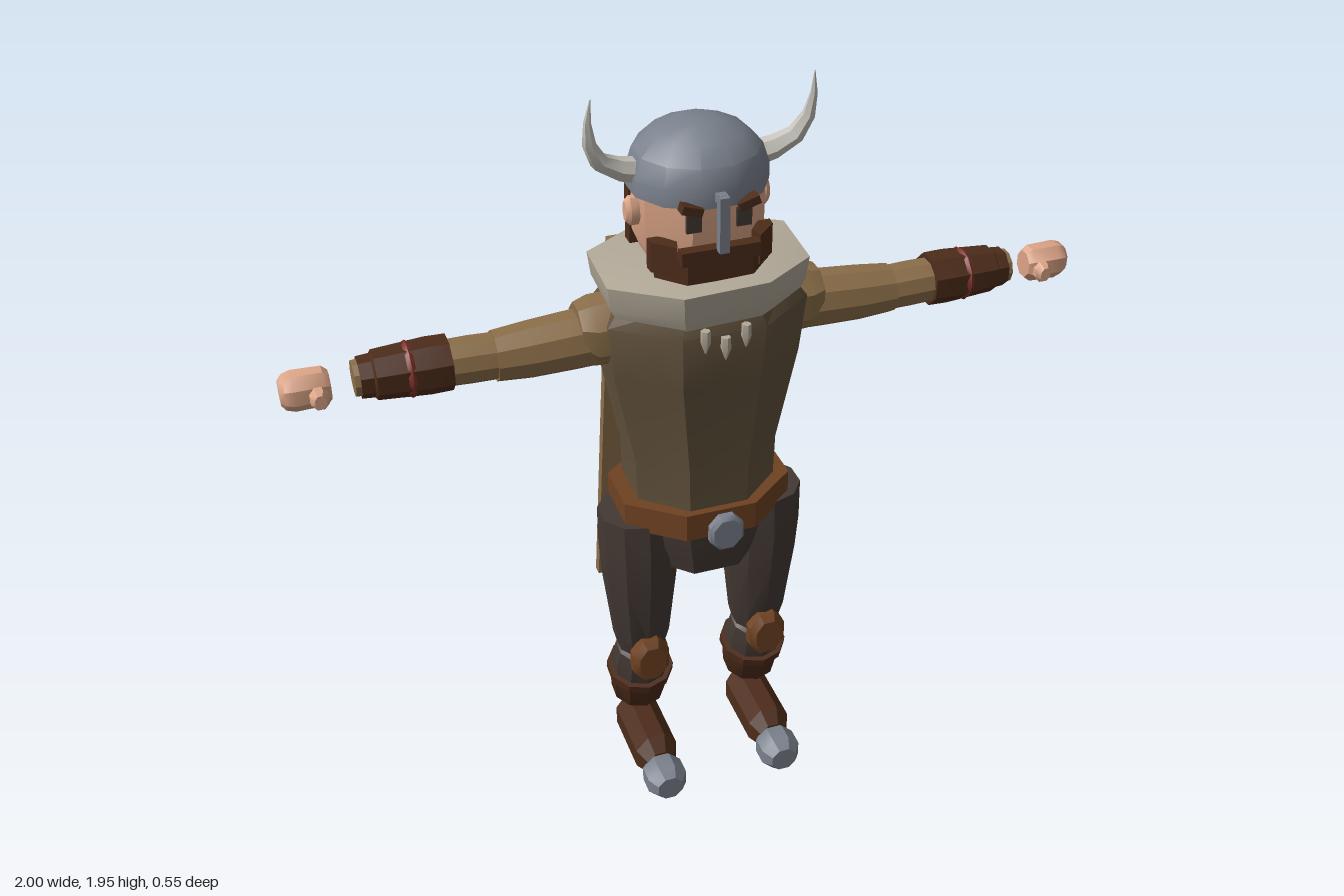
import * as THREE from 'three';
import { toCreasedNormals } from 'three/addons/utils/BufferGeometryUtils.js';

const COLORS = {
  skin: 0xdca587, steel: 0x7a818c, leather: 0x6f4222, darkLeather: 0x4d2c1a, tunic: 0x61513c,
  tan: 0x8b6e49, trousers: 0x44393400 >>> 8, horn: 0xc6c4bb, fur: 0xb2a998, red: 0x7c3028,
};

// Closed solid from elliptical cross-sections along one axis.
// Ring: y axis [y, x, z, rx, rz], x axis [x, y, z, ry, rz], z axis [z, x, y, rx, ry]
function loft(axis, rings, n = 8, wobble = () => 0) {
  const pos = [], idx = [], k = 1 / Math.cos(Math.PI / n), dir = axis === 'y' ? -1 : 1;
  const push = (t, a, b) => pos.push(...(axis === 'y' ? [a, t, b] : axis === 'x' ? [t, a, b] : [a, b, t]));
  rings.forEach(([t, a, b, ra, rb = ra], i) => {
    for (let j = 0; j < n; j++) {
      const th = dir * (j + 0.5) / n * Math.PI * 2;
      push(t + wobble(i, j), a + ra * k * Math.cos(th), b + rb * k * Math.sin(th));
    }
  });
  const last = rings.length - 1, c0 = pos.length / 3;
  push(...rings[0].slice(0, 3));
  push(...rings[last].slice(0, 3));
  for (let j = 0; j < n; j++) {
    const m = (j + 1) % n;
    for (let i = 0; i < last; i++) {
      const p = i * n + j, q = i * n + m;
      idx.push(p, q, q + n, p, q + n, p + n);
    }
    idx.push(c0, m, j, c0 + 1, last * n + j, last * n + m);
  }
  const g = new THREE.BufferGeometry();
  g.setAttribute('position', new THREE.Float32BufferAttribute(pos, 3));
  g.setIndex(idx);
  return g;
}

// Horizontal outline [x, z] raised from y0 to y1
function slab(points, y0, y1) {
  const shape = new THREE.Shape(points.map(([x, z]) => new THREE.Vector2(x, -z)));
  return new THREE.ExtrudeGeometry(shape, { depth: y1 - y0, bevelEnabled: false })
    .rotateX(-Math.PI / 2).translate(0, y0, 0);
}

const box = (x, y, z, w, h, d) => new THREE.BoxGeometry(w, h, d).translate(x, y, z);

// Mirror across x = 0, keeping faces outward
function mirror(geo) {
  const g = geo.clone().scale(-1, 1, 1), p = g.attributes.position;
  for (let i = 0; i < p.count; i += 3) {
    const a = new THREE.Vector3().fromBufferAttribute(p, i + 1);
    const b = new THREE.Vector3().fromBufferAttribute(p, i + 2);
    p.setXYZ(i + 1, b.x, b.y, b.z);
    p.setXYZ(i + 2, a.x, a.y, a.z);
  }
  return g;
}

// Curved horn tapering to a point
function hornGeometry() {
  const curve = new THREE.CatmullRomCurve3([[0.13, 1.745, 0.02], [0.225, 1.775, 0.03],
    [0.265, 1.85, 0.05], [0.262, 1.95, 0.07]].map(p => new THREE.Vector3(...p)));
  const segs = 5, sides = 6, g = new THREE.TubeGeometry(curve, segs, 0.032, sides);
  const p = g.attributes.position, v = new THREE.Vector3();
  for (let i = 0; i < p.count; i++) {
    const t = Math.floor(i / (sides + 1)) / segs, c = curve.getPointAt(t);
    v.fromBufferAttribute(p, i).sub(c).multiplyScalar(1 - 0.97 * t ** 1.3).add(c);
    p.setXYZ(i, v.x, v.y, v.z);
  }
  return g;
}

export function createModel() {
  const model = new THREE.Group();
  model.name = 'hornedWarrior';
  const mats = {};
  for (const [name, color] of Object.entries(COLORS)) {
    mats[name] = new THREE.MeshStandardMaterial({ color });
    mats[name].name = name;
  }
  const finish = (geo) => {
    const g = geo.index ? geo.toNonIndexed() : geo;
    for (const a of ['uv', 'normal']) g.deleteAttribute(a);
    return g;
  };
  const mesh = (name, mat, g) => {
    g.computeVertexNormals();
    const m = new THREE.Mesh(toCreasedNormals(g, 0.6), mats[mat]);
    m.name = name;
    model.add(m);
  };
  const add = (name, mat, geo) => mesh(name, mat, finish(geo));
  const pair = (name, mat, geo) => {
    const g = finish(geo);
    mesh(name + 'Right', mat, mirror(g));
    mesh(name + 'Left', mat, g);
  };

  // Torso, belt and hips
  add('tunic', 'tunic', loft('y', [[0.84, 0, 0.025, 0.18, 0.16], [1.0, 0, 0.025, 0.185, 0.162],
    [1.25, 0, 0.03, 0.235, 0.172], [1.4, 0, 0.03, 0.25, 0.187], [1.47, 0, 0.03, 0.2, 0.16]]));
  add('belt', 'leather', loft('y', [[0.815, 0, 0.03, 0.22, 0.175], [0.89, 0, 0.03, 0.22, 0.175]]));
  add('buckle', 'steel', loft('z', [[0.222, 0, 0.848, 0.036, 0.04], [0.23, 0, 0.848, 0.044, 0.05],
    [0.245, 0, 0.848, 0.044, 0.05], [0.254, 0, 0.848, 0.036, 0.04]]));
  add('hips', 'trousers', loft('y', [[0.68, 0, 0.025, 0.145, 0.148], [0.75, 0, 0.025, 0.17, 0.16],
    [0.82, 0, 0.025, 0.185, 0.162]]));

  // Fur collar with an uneven rim, and hanging fangs
  add('collar', 'fur', loft('y', [[1.42, 0, 0.03, 0.225, 0.18], [1.455, 0, 0.03, 0.242, 0.193],
    [1.515, 0, 0.03, 0.25, 0.2], [1.53, 0, 0.03, 0.14, 0.12]], 8,
    (i, j) => i === 3 ? 0 : 0.009 * Math.sin(j * 2.3 + 1)));
  for (const x of [-0.05, 0, 0.05]) {
    const y = x ? 1.36 : 1.335;
    add('fang', 'fur', loft('y', [[y, x, 0.222, 0.002], [y + 0.03, x, 0.222, 0.011],
      [y + 0.06, x, 0.222, 0.01]], 6));
  }

  // Head, hair and beard
  add('head', 'skin', loft('y', [[1.45, 0, 0.02, 0.1], [1.53, 0, 0.02, 0.125, 0.13],
    [1.58, 0, 0.02, 0.145, 0.14], [1.73, 0, 0.02, 0.145, 0.145]]));
  pair('ear', 'skin', loft('x', [[0.14, 1.65, 0.02, 0.034, 0.022], [0.165, 1.65, 0.02, 0.034, 0.022],
    [0.176, 1.65, 0.02, 0.024, 0.014]]));
  add('hair', 'darkLeather', slab([[-0.15, -0.03], [-0.15, -0.065], [-0.085, -0.13], [0.085, -0.13],
    [0.15, -0.065], [0.15, -0.03]], 1.54, 1.705));
  add('beard', 'darkLeather', slab([[-0.13, 0.09], [-0.14, 0.12], [-0.08, 0.185], [0.08, 0.185],
    [0.14, 0.12], [0.13, 0.09]], 1.52, 1.585));
  pair('sideburn', 'darkLeather', slab([[0.12, 0.1], [0.15, 0.1], [0.148, 0.125], [0.1, 0.172],
    [0.09, 0.14]], 1.54, 1.615));
  add('moustache', 'darkLeather', box(0, 1.59, 0.175, 0.19, 0.035, 0.03));
  pair('eye', 'trousers', box(0.06, 1.668, 0.168, 0.036, 0.044, 0.009));
  pair('brow', 'darkLeather', new THREE.BoxGeometry(0.05, 0.02, 0.03)
    .rotateZ(0.3).translate(0.068, 1.705, 0.172));

  // Helmet
  add('helmet', 'steel', loft('y', [[1.7, 0, 0.02, 0.162, 0.154], [1.74, 0, 0.02, 0.162, 0.154],
    [1.79, 0, 0.02, 0.146, 0.14], [1.83, 0, 0.02, 0.105, 0.1], [1.855, 0, 0.02, 0.045]], 12));
  add('noseGuard', 'steel', box(0, 1.67, 0.198, 0.024, 0.135, 0.022));
  add('noseGuardMount', 'steel', box(0, 1.728, 0.175, 0.024, 0.02, 0.04));
  pair('horn', 'horn', hornGeometry());

  // Arms
  pair('shoulder', 'tan', loft('x', [[0.17, 1.36, 0.03, 0.085, 0.075], [0.27, 1.36, 0.03, 0.08, 0.075],
    [0.305, 1.37, 0.03, 0.06, 0.06]]));
  pair('upperArm', 'tan', loft('x', [[0.2, 1.345, 0.025, 0.07], [0.32, 1.34, 0.025, 0.069],
    [0.42, 1.335, 0.025, 0.066], [0.505, 1.333, 0.025, 0.059]], 10));
  pair('forearm', 'tan', loft('x', [[0.49, 1.333, 0.025, 0.054], [0.56, 1.335, 0.025, 0.055],
    [0.68, 1.337, 0.025, 0.052], [0.833, 1.338, 0.025, 0.041]], 10));
  pair('bracer', 'darkLeather', loft('x', [[0.61, 1.338, 0.025, 0.062], [0.66, 1.338, 0.025, 0.063],
    [0.785, 1.338, 0.025, 0.055], [0.79, 1.338, 0.025, 0.048], [0.82, 1.338, 0.025, 0.046]], 8));
  pair('bracerBand', 'red', new THREE.TorusGeometry(0.057, 0.011, 6, 12)
    .rotateY(Math.PI / 2).translate(0.705, 1.338, 0.025));
  pair('hand', 'skin', loft('x', [[0.886, 1.333, 0.025, 0.033, 0.03], [0.9, 1.333, 0.025, 0.044, 0.038],
    [0.97, 1.333, 0.025, 0.046, 0.04], [0.99, 1.333, 0.025, 0.04, 0.034], [1, 1.333, 0.025, 0.028, 0.024]]));
  pair('thumb', 'skin', loft('z', [[0.04, 0.918, 1.328, 0.021, 0.025], [0.078, 0.916, 1.328, 0.021, 0.025],
    [0.09, 0.916, 1.328, 0.013, 0.017]]));

  // Legs; shins lean back from the knee
  const shin = (rings, n = 10) => loft('y', rings, n).rotateX(0.22).translate(0.165, 0.36, 0.037);
  pair('thigh', 'trousers', loft('y', [[0.37, 0.165, 0.035, 0.06, 0.058], [0.42, 0.165, 0.038, 0.072, 0.068],
    [0.62, 0.167, 0.04, 0.093, 0.094], [0.72, 0.168, 0.042, 0.098, 0.102], [0.83, 0.168, 0.042, 0.099, 0.096]], 10));
  pair('shin', 'trousers', shin([[-0.12, 0, 0, 0.07], [-0.04, 0, 0, 0.075], [0.015, 0, 0, 0.066],
    [0.035, 0, 0, 0.045]]));
  pair('kneePad', 'leather', loft('z', [[0.1, 0.165, 0.38, 0.05, 0.066], [0.125, 0.165, 0.38, 0.05, 0.066],
    [0.142, 0.165, 0.38, 0.036, 0.05]]));
  pair('bootShaft', 'darkLeather', shin([[-0.2, 0, 0, 0.055], [-0.18, 0, 0, 0.07], [-0.08, 0, 0, 0.08]]));
  pair('bootCuff', 'darkLeather', shin([[-0.097, 0, 0, 0.086], [-0.073, 0, 0, 0.086]]));
  pair('boot', 'darkLeather', loft('z', [[-0.062, 0.165, 0.066, 0.032, 0.042], [-0.03, 0.165, 0.066, 0.057, 0.065],
    [0.155, 0.165, 0.066, 0.057, 0.065], [0.192, 0.165, 0.06, 0.036, 0.04]]));
  pair('toeCap', 'steel', loft('z', [[0.178, 0.165, 0.05, 0.036], [0.2, 0.165, 0.05, 0.053, 0.05],
    [0.25, 0.165, 0.05, 0.053, 0.05], [0.278, 0.165, 0.05, 0.034]]));

  // Flat cape, widening and drifting backwards towards the hem
  const cape = new THREE.BoxGeometry(1, 1, 1), p = cape.attributes.position;
  for (let i = 0; i < p.count; i++) {
    const top = p.getY(i) > 0;
    p.setXYZ(i, p.getX(i) * (top ? 0.31 : 0.4), top ? 1.47 : 0.41, (top ? -0.204 : -0.256) + p.getZ(i) * 0.028);
  }
  add('cape', 'tan', cape);

  return model;
}
